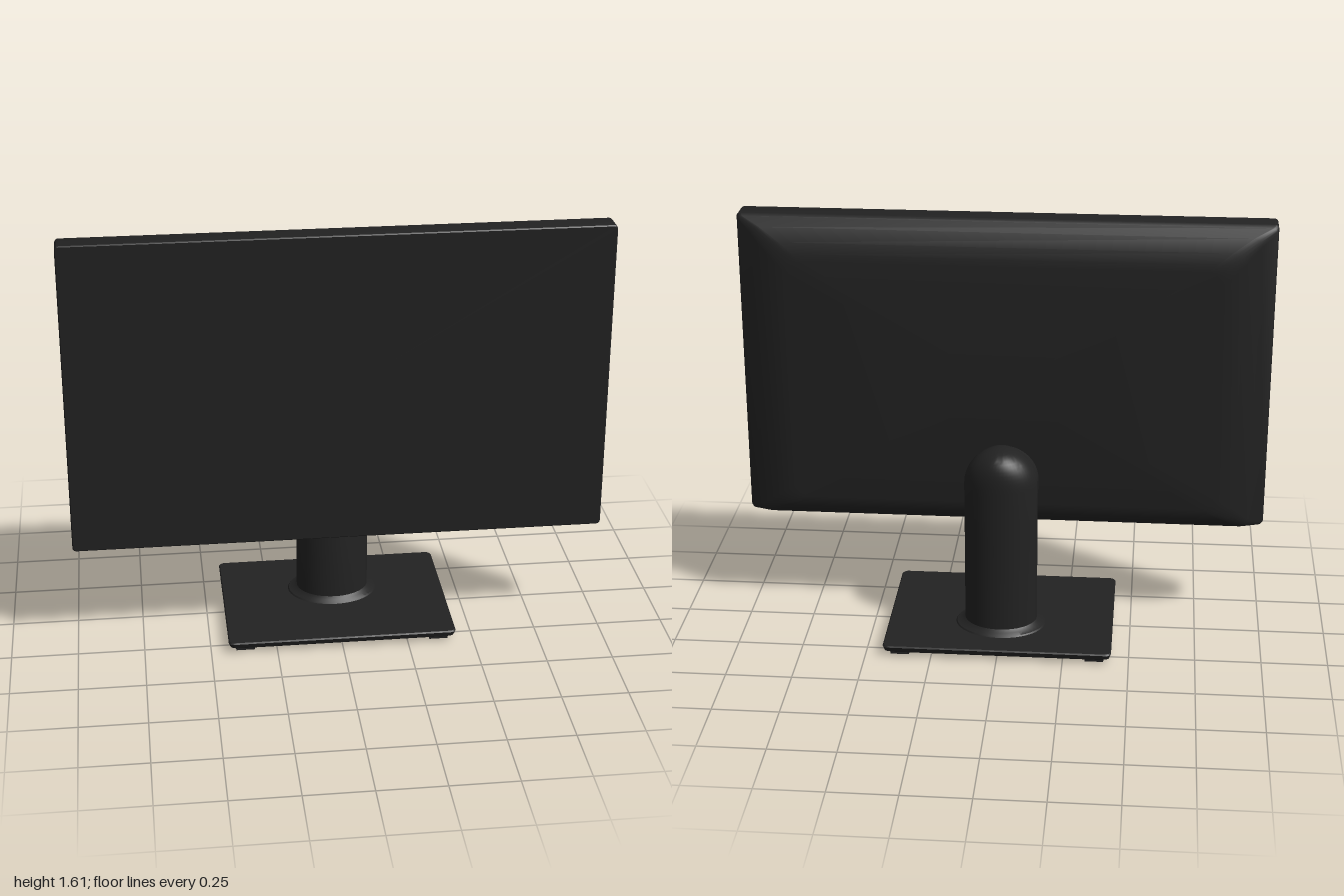
import * as THREE from 'three';
import { toCreasedNormals } from 'three/addons/utils/BufferGeometryUtils.js';

// Skin a list of closed rings (counter-clockwise about the loft direction), capped at both ends
function loft(rings, crease = 0.6) {
  const n = rings[0].length, pos = [], idx = [];
  rings.forEach(r => r.forEach(p => pos.push(...p)));
  for (let i = 0; i < rings.length - 1; i++) {
    for (let j = 0; j < n; j++) {
      const a = i * n + j, b = i * n + (j + 1) % n;
      idx.push(a, b, b + n, a, b + n, a + n);
    }
  }
  [0, rings.length - 1].forEach((k, end) => {
    const c = pos.length / 3;
    pos.push(...[0, 1, 2].map(d => rings[k].reduce((s, p) => s + p[d], 0) / n));
    for (let j = 0; j < n; j++) {
      const a = k * n + j, b = k * n + (j + 1) % n;
      if (end) idx.push(c, a, b); else idx.push(c, b, a);
    }
  });
  const g = new THREE.BufferGeometry();
  g.setAttribute('position', new THREE.Float32BufferAttribute(pos, 3));
  g.setIndex(idx);
  return toCreasedNormals(g, crease);
}

// Rounded rectangle as [u, v] points
function roundRect(hu, v0, v1, r, steps = 5) {
  const pts = [];
  [[1, 1], [-1, 1], [-1, -1], [1, -1]].forEach(([su, sv], q) => {
    for (let i = 0; i <= steps; i++) {
      const a = (q + i / steps) * Math.PI / 2;
      pts.push([su * (hu - r) + r * Math.cos(a), (sv > 0 ? v1 - r : v0 + r) + r * Math.sin(a)]);
    }
  });
  return pts;
}

// Horizontal ellipse at height y, from front zf to back zb
function ellipse(y, hx, zf, zb, n = 48) {
  return Array.from({ length: n }, (_, i) => {
    const a = i / n * Math.PI * 2;
    return [hx * Math.cos(a), y, (zf + zb) / 2 - (zf - zb) / 2 * Math.sin(a)];
  });
}

// Upright plate with round ends
function capsulePlate(hx, y0, y1, depth) {
  const s = new THREE.Shape();
  s.absarc(0, y1 - hx, hx, 0, Math.PI);
  s.absarc(0, y0 + hx, hx, Math.PI, Math.PI * 2);
  s.closePath();
  return toCreasedNormals(new THREE.ExtrudeGeometry(s, { depth, bevelEnabled: false, curveSegments: 24 }), 0.6);
}

export function createModel() {
  const model = new THREE.Group();
  const black = new THREE.MeshStandardMaterial({ color: 0x222222 });
  black.name = 'matte black';
  const add = (name, geometry) => {
    const m = new THREE.Mesh(geometry, black);
    m.name = name;
    model.add(m);
    return m;
  };

  // Screen housing: z, half width, bottom, top, corner radius
  const screen = [
    [0.03, 0.80, 0.50, 1.45, 0.05],
    [0.034, 0.835, 0.475, 1.48, 0.05],
    [0.046, 0.88, 0.45, 1.52, 0.045],
    [0.07, 0.94, 0.415, 1.57, 0.03],
    [0.10, 0.995, 0.411, 1.602, 0.018],
    [0.115, 1, 0.41, 1.611, 0.015],
    [0.196, 1, 0.41, 1.611, 0.015],
    [0.2, 0.996, 0.414, 1.607, 0.012],
  ];
  add('screenHousing', loft(screen.map(([z, hx, y0, y1, r]) =>
    roundRect(hx, y0, y1, r).map(([x, y]) => [x, y, z]))));

  // Control strip under the screen's left end
  add('controlStrip', new THREE.BoxGeometry(0.13, 0.012, 0.03)).position.set(0.725, 0.409, 0.15);

  // Base plate: y, half width, half depth
  const base = [[0.01, 0.41, 0.295], [0.022, 0.428, 0.313], [0.04, 0.434, 0.319], [0.045, 0.43, 0.315]];
  add('basePlate', loft(base.map(([y, hx, hz]) =>
    roundRect(hx, -hz, hz, 0.02).map(([x, v]) => [x, y, -v]))));
  for (const sx of [-1, 1]) {
    for (const sz of [-1, 1]) {
      add('baseFoot', new THREE.BoxGeometry(0.07, 0.012, 0.06)).position.set(sx * 0.37, 0.006, sz * 0.262);
    }
  }

  // Flared collar where the column meets the base
  add('columnCollar', loft([
    ellipse(0.043, 0.175, 0.065, -0.22), ellipse(0.05, 0.17, 0.06, -0.215),
    ellipse(0.056, 0.15, 0.047, -0.2), ellipse(0.066, 0.139, 0.04, -0.19),
  ]));

  // Column with a slightly leaning front and a domed top
  const column = [
    ellipse(0.04, 0.139, 0.04, -0.19), ellipse(0.4, 0.139, 0.04, -0.19),
    ellipse(0.5, 0.139, 0.025, -0.19), ellipse(0.635, 0.139, 0.022, -0.19),
  ];
  for (let i = 1; i <= 12; i++) {
    const t = Math.sin(i / 12 * Math.PI / 2 * 0.985);
    const wz = 0.106 * Math.cbrt(1 - t ** 3);
    column.push(ellipse(0.635 + 0.14 * t, 0.139 * Math.sqrt(1 - t * t), -0.084 + wz, -0.084 - wz));
  }
  add('column', loft(column));

  // Hinge mount between column and screen, with its tilted tongue below
  add('hingeMount', capsulePlate(0.135, 0.44, 0.74, 0.045)).position.z = -0.012;
  const tongue = add('hingeTongue', capsulePlate(0.07, 0, 0.16, 0.015));
  tongue.position.set(0, 0.368, 0.04);
  tongue.rotation.x = -0.28;

  return model;
}
